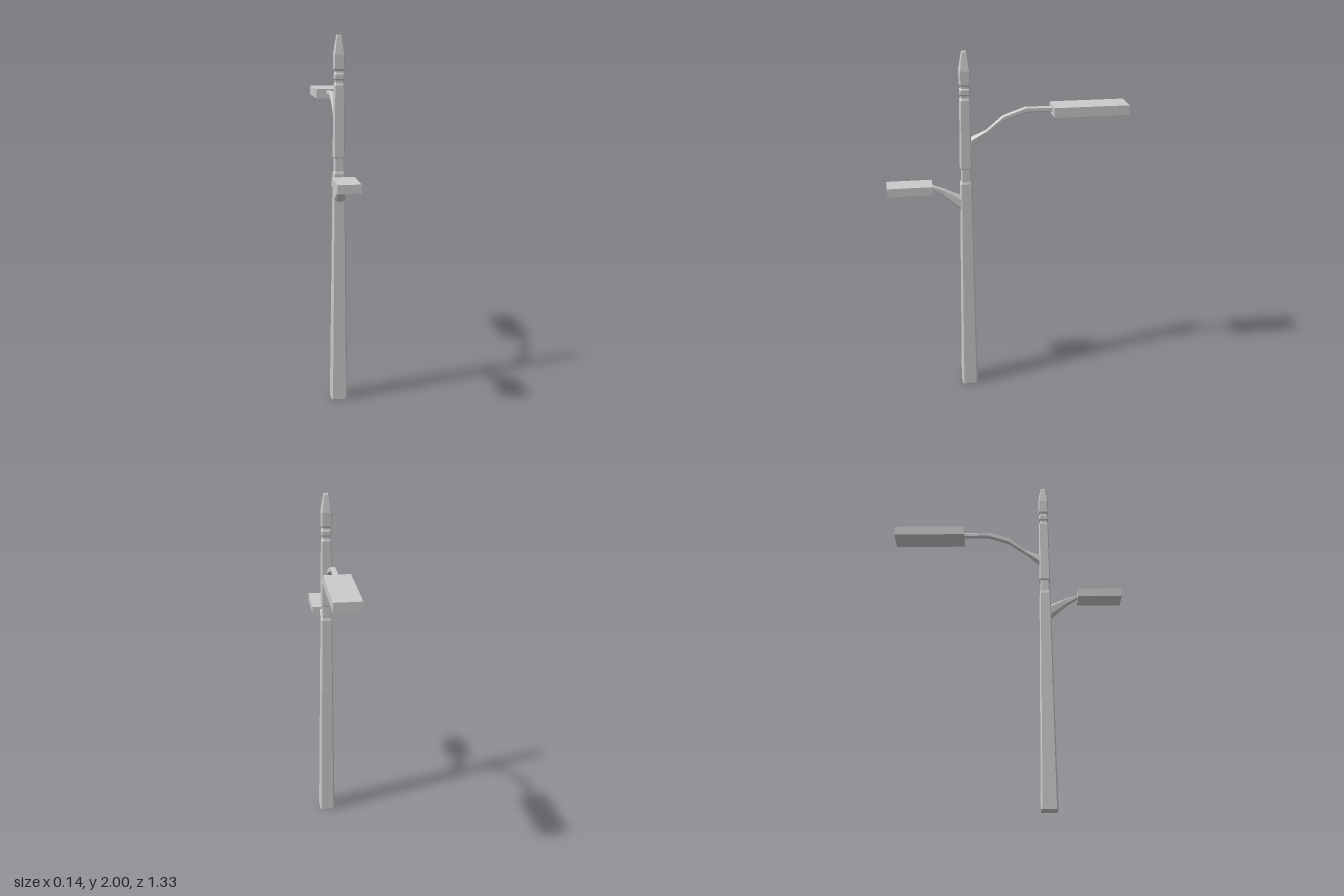
import * as THREE from 'three';

const material = new THREE.MeshStandardMaterial({ color: 0xcccccc, flatShading: true });
const POLE_Z = 0.226;

// Chamfered rectangle around centre c, spanned by half-axes u and v
function ring(c, u, v, chamfer) {
  const k = 1 - chamfer;
  return [[1, -k], [1, k], [k, 1], [-k, 1], [-1, k], [-1, -k], [-k, -1], [k, -1]]
    .map(([a, b]) => c.clone().addScaledVector(u, a).addScaledVector(v, b));
}

// Flat-sided capped skin through rings; u x v must point along the travel
function loft(name, rings) {
  const pos = [];
  const tri = (...pts) => pts.forEach((p) => pos.push(p.x, p.y, p.z));
  const n = rings[0].length;
  for (let r = 0; r < rings.length - 1; r++) {
    const a = rings[r], b = rings[r + 1];
    for (let i = 0; i < n; i++) {
      const j = (i + 1) % n;
      tri(a[i], a[j], b[j]);
      tri(a[i], b[j], b[i]);
    }
  }
  const first = rings[0], last = rings[rings.length - 1];
  for (let i = 1; i < n - 1; i++) {
    tri(first[0], first[i + 1], first[i]);
    tri(last[0], last[i], last[i + 1]);
  }
  const geometry = new THREE.BufferGeometry();
  geometry.setAttribute('position', new THREE.Float32BufferAttribute(pos, 3));
  geometry.computeVertexNormals();
  const mesh = new THREE.Mesh(geometry, material);
  mesh.name = name;
  return mesh;
}

// Vertical section from [y, half width] pairs
function column(name, profile) {
  return loft(name, profile.map(([y, h]) => ring(
    new THREE.Vector3(0, y, POLE_Z),
    new THREE.Vector3(0, 0, h), new THREE.Vector3(h, 0, 0), 0.18)));
}

// Bracket arm from [lower z, lower y, upper z, upper y, half width] stations
function arm(name, stations, towardFront) {
  return loft(name, stations.map(([z0, y0, z1, y1, w]) => {
    const c = new THREE.Vector3(0, (y0 + y1) / 2, (z0 + z1) / 2);
    const up = new THREE.Vector3(0, (y1 - y0) / 2, (z1 - z0) / 2);
    return ring(c, up, new THREE.Vector3(towardFront ? -w : w, 0, 0), 0.35);
  }));
}

function lamp(name, width, y0, y1, z0, z1) {
  const mesh = new THREE.Mesh(new THREE.BoxGeometry(width, y1 - y0, z1 - z0), material);
  mesh.position.set(0, (y0 + y1) / 2, (z0 + z1) / 2);
  mesh.name = name;
  return mesh;
}

export function createModel() {
  const model = new THREE.Group();
  model.name = 'streetLamp';

  // Tapered post, recessed neck, upper post with grooves and pointed cap
  model.add(
    column('lowerPost', [[0, 0.045], [1.27, 0.031], [1.285, 0.026]]),
    column('neck', [[1.27, 0.026], [1.36, 0.025]]),
    column('upperPost', [
      [1.355, 0.026], [1.36, 0.031], [1.74, 0.027], [1.752, 0.022], [1.765, 0.022],
      [1.773, 0.027], [1.797, 0.027], [1.805, 0.022], [1.815, 0.022], [1.825, 0.028],
      [1.9, 0.029], [1.99, 0.015], [2, 0.012],
    ]),
  );

  // Tall rear arm and large lamp
  model.add(
    arm('rearArm', [
      [0.21, 1.465, 0.21, 1.515, 0.026],
      [0.198, 1.475, 0.198, 1.527, 0.026],
      [0.122, 1.54, 0.112, 1.567, 0.016],
      [0.013, 1.62, 0.02, 1.645, 0.015],
      [-0.108, 1.66, -0.103, 1.688, 0.014],
      [-0.26, 1.66, -0.26, 1.686, 0.014],
    ], false),
    lamp('rearLamp', 0.144, 1.641, 1.695, -0.663, -0.25),
  );

  // Short front arm and small lamp
  model.add(
    arm('frontArm', [
      [0.24, 1.135, 0.24, 1.187, 0.029],
      [0.257, 1.12, 0.257, 1.195, 0.029],
      [0.353, 1.202, 0.343, 1.238, 0.017],
      [0.42, 1.245, 0.42, 1.267, 0.016],
    ], true),
    lamp('frontLamp', 0.12, 1.23, 1.277, 0.413, 0.663),
  );

  return model;
}
